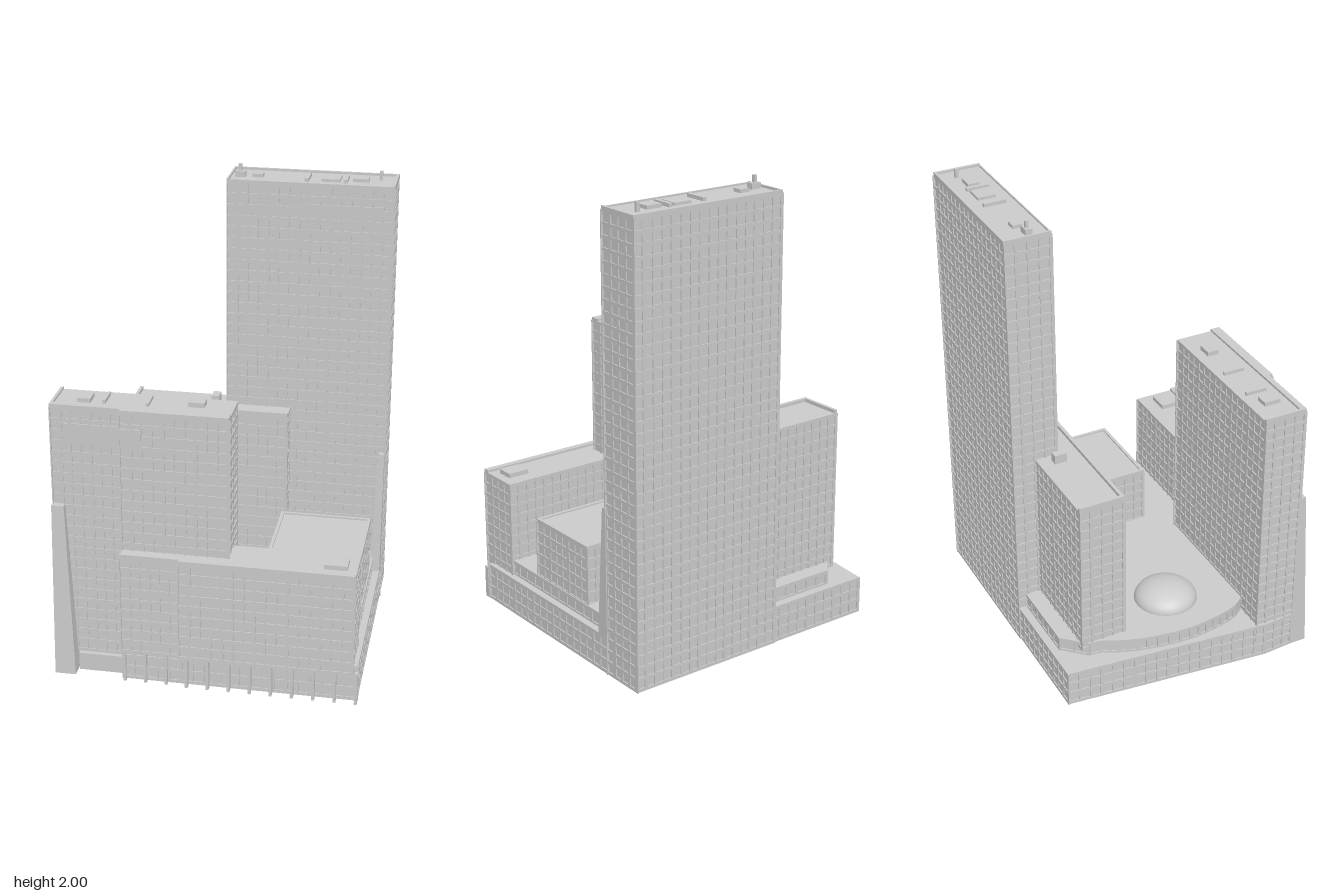
import * as THREE from 'three';
import { mergeGeometries } from 'three/addons/utils/BufferGeometryUtils.js';

const grey = new THREE.MeshStandardMaterial({ color: 0xcccccc });

// Box from its limits on each axis
function block(x0, x1, y0, y1, z0, z1) {
  return new THREE.BoxGeometry(x1 - x0, y1 - y0, z1 - z0)
    .translate((x0 + x1) / 2, (y0 + y1) / 2, (z0 + z1) / 2).toNonIndexed();
}

// Upright prism over a plan outline of [x, z] points
function prism(plan, y0, y1) {
  const shape = new THREE.Shape(plan.map(([x, z]) => new THREE.Vector2(x, -z)));
  return new THREE.ExtrudeGeometry(shape, { depth: y1 - y0, bevelEnabled: false })
    .rotateX(-Math.PI / 2).translate(0, y0, 0);
}

// Plan outline drawn in by roughly d on every side
function inset(plan, d) {
  const box = new THREE.Box2().setFromPoints(plan.map(p => new THREE.Vector2(...p)));
  const c = box.getCenter(new THREE.Vector2()), s = box.getSize(new THREE.Vector2());
  return plan.map(([x, z]) => [c.x + (x - c.x) * (1 - 2 * d / s.x), c.y + (z - c.y) * (1 - 2 * d / s.y)]);
}

const rect = (x0, x1, z0, z1) => [[x0, z0], [x1, z0], [x1, z1], [x0, z1]];

// Window core wrapped in floor bands and upright fins
function facade(plan, y0, y1, floor = 0.05, bay = 0.045) {
  const d = 0.005, h = y1 - y0;
  const parts = [prism(inset(plan, d), y0, y1 - 0.002)];
  const floors = Math.max(1, Math.round(h / floor));
  for (let i = 0; i <= floors; i++) {
    const y = y0 + (h - 0.014) * i / floors;
    parts.push(prism(plan, y, y + 0.014));
  }
  const core = inset(plan, d / 2);
  core.forEach(([ax, az], i) => {
    const [bx, bz] = core[(i + 1) % core.length];
    const len = Math.hypot(bx - ax, bz - az), n = Math.max(1, Math.round(len / bay));
    for (let k = 0; k < n; k++) {
      const t = k / n, w = k % 3 === 0 ? 0.014 : 0.008;
      parts.push(new THREE.BoxGeometry(w, h - 0.002, d).toNonIndexed()
        .rotateY(-Math.atan2(bz - az, bx - ax))
        .translate(ax + (bx - ax) * t, (y0 + y1) / 2 - 0.001, az + (bz - az) * t));
    }
  });
  return parts;
}

// Tapered buttress: box whose top is pulled to another rectangle
function buttress(bottom, top, y0, y1) {
  const g = new THREE.BoxGeometry(1, 1, 1).toNonIndexed(), p = g.attributes.position;
  for (let i = 0; i < p.count; i++) {
    const up = p.getY(i) > 0, r = up ? top : bottom;
    p.setXYZ(i, p.getX(i) < 0 ? r[0] : r[1], up ? y1 : y0, p.getZ(i) < 0 ? r[2] : r[3]);
  }
  g.computeVertexNormals();
  return g;
}

export function createModel() {
  const model = new THREE.Group();
  const add = (name, parts) => {
    const mesh = new THREE.Mesh(mergeGeometries([].concat(parts)), grey);
    mesh.name = name;
    model.add(mesh);
    return mesh;
  };

  // Podium with slanted side
  add('podiumBase', facade([[-0.56, -0.57], [0.65, -0.57], [0.65, 0.535], [-0.35, 0.535],
    [-0.35, 0.475], [-0.645, 0.475], [-0.655, 0.335]], 0, 0.165, 0.055, 0.05));
  add('entrancePlinth', block(-0.55, -0.35, 0, 0.08, 0.47, 0.5));

  // Terrace with a bowed edge
  const bow = new THREE.CatmullRomCurve3([[-0.512, 0.29], [-0.55, 0.235], [-0.58, 0.12], [-0.592, 0],
    [-0.578, -0.15], [-0.545, -0.28], [-0.498, -0.385]].map(([x, z]) => new THREE.Vector3(x, 0, z)));
  const bowPlan = bow.getPoints(18).map(p => [p.x, p.z]);
  add('terrace', facade([...bowPlan, [-0.49, -0.44], [-0.4, -0.535], [0, -0.535], [0, -0.4],
    [0.62, -0.4], [0.62, 0.4], [-0.5, 0.4]], 0.16, 0.23, 0.07, 0.06));

  // Shallow dome
  const dome = add('dome', new THREE.SphereGeometry(0.137, 48, 16, 0, Math.PI * 2, 0, Math.PI / 2).scale(1, 0.55, 1));
  dome.position.set(-0.355, 0.23, 0);

  // Tall tower
  add('tallTower', facade(rect(-0.07, 0.65, -0.575, -0.37), 0, 1.945));
  add('tallTowerParapet', [
    block(-0.07, -0.062, 1.94, 1.955, -0.575, -0.37), block(0.638, 0.65, 1.94, 1.955, -0.575, -0.37),
    block(-0.07, 0.65, 1.94, 1.955, -0.575, -0.565), block(-0.07, 0.65, 1.94, 1.952, -0.376, -0.37),
  ]);
  add('tallTowerPanel', block(0.27, 0.6, 1.8, 1.86, -0.38, -0.368));
  add('tallTowerRoofUnits', [
    [-0.045, 0, 1.97, -0.47, -0.44], [0.03, 0.075, 1.96, -0.49, -0.448], [0.26, 0.277, 1.96, -0.513, -0.415],
    [0.33, 0.41, 1.957, -0.51, -0.43], [0.425, 0.442, 1.96, -0.517, -0.42], [0.462, 0.53, 1.96, -0.497, -0.447],
  ].map(([x0, x1, y, z0, z1]) => block(x0, x1, 1.94, y, z0, z1)));
  add('masts', [block(-0.032, -0.018, 1.94, 2, -0.463, -0.449), block(0.571, 0.585, 1.94, 1.985, -0.508, -0.494)]);

  // Middle block behind the terrace
  add('middleBlock', facade(rect(-0.49, 0.22, -0.47, -0.267), 0.2, 0.915));
  add('middleBlockParapet', [block(-0.49, 0.22, 0.91, 0.93, -0.282, -0.267),
    block(-0.49, -0.476, 0.91, 0.93, -0.47, -0.267)]);
  add('middleBlockRoofUnit', block(-0.135, -0.1, 0.91, 0.955, -0.41, -0.355));

  // Front tower, stepped in plan
  add('frontTower', facade([[-0.645, 0.29], [0.1, 0.29], [0.1, 0.497], [-0.35, 0.497],
    [-0.35, 0.48], [-0.645, 0.48]], 0.08, 1.21));
  add('frontTowerParapet', [block(-0.645, -0.35, 1.2, 1.22, 0.455, 0.48), block(-0.35, 0.1, 1.2, 1.22, 0.455, 0.497),
    block(-0.645, -0.633, 1.2, 1.22, 0.29, 0.48)]);
  add('frontTowerPanel', [block(-0.59, -0.35, 1.06, 1.14, 0.47, 0.482), block(-0.35, -0.26, 1.06, 1.14, 0.485, 0.499)]);
  add('frontTowerRoofUnits', [
    [-0.543, -0.487, 1.228, 0.345, 0.418], [-0.438, -0.425, 1.225, 0.32, 0.415],
    [-0.257, -0.245, 1.225, 0.32, 0.415], [-0.087, -0.02, 1.23, 0.337, 0.387],
  ].map(([x0, x1, y, z0, z1]) => block(x0, x1, 1.2, y, z0, z1)));

  // Low front wing carried on a colonnade
  add('lowWing', facade([[-0.35, 0.372], [0.632, 0.372], [0.632, 0.575], [-0.1, 0.575],
    [-0.1, 0.56], [-0.35, 0.56]], 0.14, 0.592));
  add('lowWingParapet', [block(-0.35, -0.1, 0.585, 0.603, 0.548, 0.56), block(-0.1, 0.632, 0.585, 0.603, 0.548, 0.575)]);
  add('lowWingRoofUnit', block(0.495, 0.592, 0.585, 0.612, 0.435, 0.512));
  const columns = [];
  for (let i = 0; i < 12; i++) {
    const x = -0.338 + i * 0.0895;
    columns.push(block(x - 0.006, x + 0.006, 0, 0.145, 0.545, i < 3 ? 0.558 : 0.568));
  }
  add('colonnade', columns);

  // Pavilion on the terrace
  add('pavilion', facade(rect(0.215, 0.615, -0.184, 0.19), 0.22, 0.485));
  add('pavilionRim', [block(0.215, 0.615, 0.475, 0.492, -0.184, -0.17), block(0.215, 0.615, 0.475, 0.492, 0.176, 0.19),
    block(0.215, 0.229, 0.475, 0.492, -0.184, 0.19), block(0.601, 0.615, 0.475, 0.492, -0.184, 0.19)]);

  // Tapered buttresses
  add('frontButtress', buttress([-0.645, -0.555, 0.47, 0.547], [-0.645, -0.592, 0.47, 0.505], 0, 0.775));
  add('backButtress', buttress([0.605, 0.65, -0.38, -0.308], [0.626, 0.65, -0.38, -0.347], 0.16, 0.73));

  return model;
}
